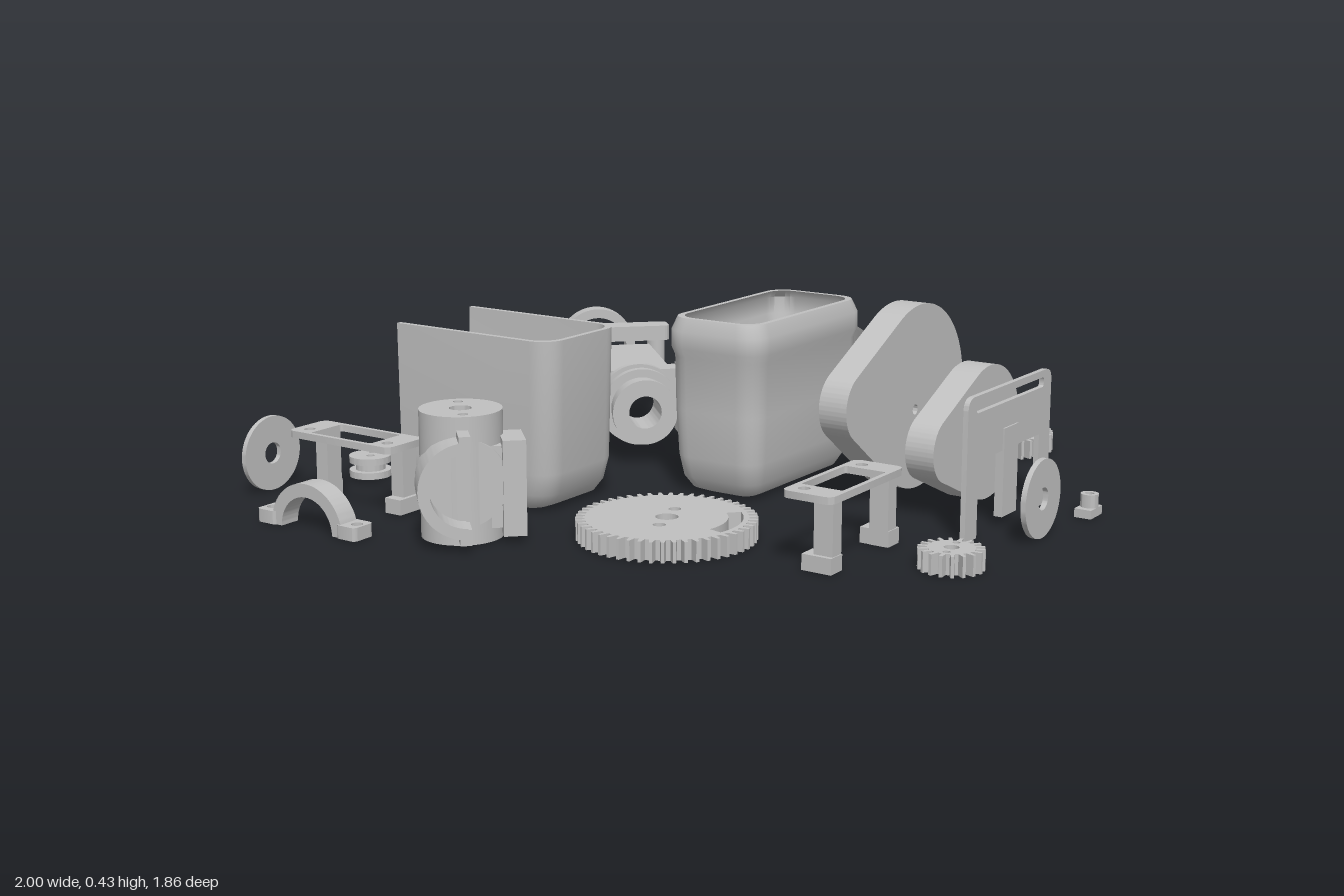
import * as THREE from 'three';
import { toCreasedNormals } from 'three/addons/utils/BufferGeometryUtils.js';

const grey = new THREE.MeshStandardMaterial({ color: 0xc0c0c0, side: THREE.DoubleSide });
grey.name = 'light grey';

function add(parent, name, geo, x = 0, y = 0, z = 0, rx = 0, ry = 0) {
  const m = new THREE.Mesh(geo, grey);
  m.name = name;
  m.position.set(x, y, z);
  m.rotation.set(rx, ry, 0);
  parent.add(m);
}
const group = (parent, name, x = 0, y = 0, z = 0, ry = 0) => {
  const g = new THREE.Group();
  g.name = name;
  g.position.set(x, y, z);
  g.rotation.y = ry;
  parent.add(g);
  return g;
};
const box = (w, h, d) => new THREE.BoxGeometry(w, h, d);
const cyl = (r, h) => new THREE.CylinderGeometry(r, r, h, 32);
const ext = (shape, depth) => toCreasedNormals(
  new THREE.ExtrudeGeometry(shape, { depth, bevelEnabled: false, curveSegments: 32 }), 0.5);
const hole = (shape, x, y, r) => shape.holes.push(new THREE.Path().absarc(x, y, r, 0, Math.PI * 2, true));
function disc(r, ...holes) {
  const s = new THREE.Shape().absarc(0, 0, r, 0, Math.PI * 2);
  holes.forEach(h => hole(s, ...h));
  return s;
}
function roundRect(Path, w, h, r, cy = 0) {
  const p = new Path(), a = w / 2 - r, b = h / 2 - r;
  [[a, b], [-a, b], [-a, -b], [a, -b]].forEach(([x, y], i) =>
    p.absarc(x, y + cy, r, i * Math.PI / 2, (i + 1) * Math.PI / 2));
  p.closePath();
  return p;
}

// Skin over a list of cross-sections
function loft(rings, closed) {
  const n = rings[0].length, index = [];
  for (let i = 0; i < rings.length - 1; i++)
    for (let j = 0; j < (closed ? n : n - 1); j++) {
      const k = (j + 1) % n, a = i * n + j, b = i * n + k;
      index.push(a, a + n, b, b, a + n, b + n);
    }
  const g = new THREE.BufferGeometry();
  g.setAttribute('position', new THREE.Float32BufferAttribute(rings.flat(2), 3));
  g.setIndex(index);
  return toCreasedNormals(g, 0.7);
}
// Rounded rectangle cross-section at height y
function tubRing([w, d, y]) {
  const r = Math.min(w, d) * 0.22, pts = [];
  for (let c = 0; c < 4; c++)
    for (let i = 0; i <= 6; i++) {
      const a = (c + i / 6) * Math.PI / 2;
      const sx = c === 0 || c === 3 ? 1 : -1, sz = c < 2 ? 1 : -1;
      pts.push([sx * (w / 2 - r) + r * Math.cos(a), y, -(sz * (d / 2 - r) + r * Math.sin(a))]);
    }
  return pts;
}
// U-shaped cross-section at height y, open towards +z; floor of the U is at z = -d
function uRing([w, d, y]) {
  const r = Math.min(w / 2, d) * 0.4, pts = [[-w / 2, y, 0]];
  for (let c = 0; c < 2; c++)
    for (let i = 0; i <= 7; i++) {
      const a = Math.PI + (c + i / 7) * Math.PI / 2;
      pts.push([(c ? 1 : -1) * (w / 2 - r) + r * Math.cos(a), y, -d + r + r * Math.sin(a)]);
    }
  pts.push([w / 2, y, 0]);
  return pts;
}
// Outer skin, rim and inner skin of a thin case
function thin(profile, ring, t, closed) {
  const inner = profile.slice().reverse().map(([w, d, y], i) =>
    [Math.max(w - 2 * t, 0.001), Math.max(d - (closed ? 2 : 1) * t, 0.001), i ? y + t : y]);
  return loft([...profile, ...inner].map(ring), closed);
}

// Toothed wheel lying flat
function gear(parent, name, x, z, R, teeth, h, holes, slot) {
  const s = new THREE.Shape(), root = R - 0.02, step = Math.PI * 2 / teeth;
  for (let i = 0; i < teeth; i++)
    [[0, root], [0.42, root], [0.57, R], [0.85, R]].forEach(([f, r], k) => {
      const a = (i + f) * step;
      s[i + k ? 'lineTo' : 'moveTo'](r * Math.cos(a), r * Math.sin(a));
    });
  s.closePath();
  holes.forEach(q => hole(s, ...q));
  if (slot) {
    const p = new THREE.Path();
    p.absarc(0, 0, 0.165, -1.0, 0.05, false);
    p.absarc(0, 0, 0.132, 0.05, -1.0, true);
    p.closePath();
    s.holes.push(p);
  }
  add(parent, name, new THREE.ExtrudeGeometry(s, { depth: h, bevelEnabled: false, curveSegments: 20 }), x, 0, z, -Math.PI / 2);
}

// Hull outline of a small and a big circle
function teardrop(Path, x1, y1, r1, x2, y2, r2) {
  const th = Math.atan2(y1 - y2, x1 - x2), b = Math.acos((r2 - r1) / Math.hypot(x1 - x2, y1 - y2));
  const p = new Path();
  p.absarc(x1, y1, r1, th - b, th + b);
  p.absarc(x2, y2, r2, th + b, th - b + Math.PI * 2);
  p.closePath();
  return p;
}
function cover(parent, name, z, c, hx, hy, hr) {
  const t = 0.014, g = group(parent, name, 0, 0, z);
  const rim = teardrop(THREE.Shape, ...c);
  rim.holes.push(teardrop(THREE.Path, c[0], c[1], c[2] - t, c[3], c[4], c[5] - t));
  add(g, 'coverRim', ext(rim, 0.055));
  const face = teardrop(THREE.Shape, ...c);
  hole(face, hx, hy, hr);
  add(g, 'coverFace', ext(face, 0.015), 0, 0, 0.055);
}

// Table-like bracket with a window and two legs
function bracket(parent, x, z, ry) {
  const g = group(parent, 'bracket', x, 0, z, ry);
  const s = roundRect(THREE.Shape, 0.305, 0.12, 0.018);
  s.holes.push(roundRect(THREE.Path, 0.18, 0.098, 0.006));
  for (const k of [-1, 1]) {
    hole(s, k * 0.118, 0.025, 0.013);
    add(g, 'bracketLeg', box(0.035, 0.15, 0.045), k * 0.115, 0.075, 0.03);
    add(g, 'bracketFoot', box(0.045, 0.035, 0.07), k * 0.12, 0.018, 0.02);
  }
  add(g, 'bracketTop', ext(s, 0.016), 0, 0.15, 0, -Math.PI / 2);
}

export function createModel() {
  const model = new THREE.Group();
  model.name = 'partsKit';

  // Gears
  gear(model, 'largeGear', -0.1, 0.53, 0.197, 50, 0.045, [[0, 0, 0.025], [0.028, 0.058, 0.014], [-0.027, -0.058, 0.014]], true);
  gear(model, 'mediumGear', 0.865, -0.11, 0.135, 36, 0.045, [[0, 0, 0.022], [0.025, 0.038, 0.013], [-0.025, -0.038, 0.013]]);
  gear(model, 'smallGear', 0.432, 0.858, 0.07, 18, 0.045, [[0, 0, 0.016], [0.02, 0.03, 0.008], [-0.02, -0.03, 0.008]]);

  // Lying trough: open at the top and towards the front
  add(model, 'troughShell', thin([[0.27, 0.005, 0], [0.31, 0.05, 0], [0.355, 0.085, 0.022], [0.39, 0.115, 0.05],
    [0.415, 0.145, 0.085], [0.43, 0.17, 0.13], [0.433, 0.183, 0.175], [0.433, 0.19, 0.24], [0.44, 0.19, 0.66]],
    uRing, 0.012, false), 0.465, 0.19, -0.93, Math.PI / 2, Math.PI);

  // Chassis with ring, cross bar and spool
  const ch = group(model, 'chassis', -0.04, 0, 0);
  add(ch, 'chassisPlate', box(0.22, 0.025, 0.42), 0, 0.17, -0.475);
  add(ch, 'chassisStrip', box(0.045, 0.025, 0.24), -0.088, 0.17, -0.785);
  add(ch, 'ringArm', box(0.16, 0.03, 0.03), -0.03, 0.175, -0.885);
  add(ch, 'crossBar', ext(roundRect(THREE.Shape, 0.345, 0.064, 0.015), 0.04), 0, 0.185, -0.748, -Math.PI / 2);
  add(ch, 'endRing', ext(disc(0.105, [0, 0, 0.08]), 0.045), 0, 0.14, -0.93);
  for (const k of [-1, 1]) {
    add(ch, 'post', cyl(0.024, 0.13), k * 0.14, 0.125, -0.748);
    add(ch, 'frontEar', box(0.04, 0.17, 0.06), k * 0.125, 0.13, -0.25);
    for (const y of [0.08, 0.195]) add(ch, 'earPin', cyl(0.02, 0.05), k * 0.132, y, -0.2, Math.PI / 2);
  }
  add(ch, 'frontBridge', box(0.3, 0.05, 0.06), 0, 0.185, -0.25);
  add(ch, 'spoolFlange', ext(disc(0.1, [0, 0, 0.04]), 0.02), 0, 0.13, -0.215);
  add(ch, 'spoolCore', ext(disc(0.075, [0, 0, 0.04]), 0.12), 0, 0.13, -0.215);
  add(ch, 'spoolFlange', ext(disc(0.095, [0, 0, 0.04]), 0.02), 0, 0.13, -0.175);
  add(ch, 'spoolLip', ext(disc(0.08, [0, 0, 0.04]), 0.015), 0, 0.13, -0.11);

  // Motor housing
  const mo = group(model, 'motorHousing', -0.53, 0, 0.43);
  add(mo, 'motorBody', ext(disc(0.09, [0, 0, 0.024], [0, 0.062, 0.011], [0, -0.062, 0.011]), 0.28), 0, 0, 0, -Math.PI / 2);
  add(mo, 'motorFace', ext(disc(0.097), 0.065), -0.005, 0.134, 0.02);
  add(mo, 'sideBlock', box(0.05, 0.21, 0.1), 0.105, 0.12, 0.04);
  add(mo, 'sideWeb', box(0.07, 0.18, 0.06), 0.06, 0.12, 0.04);
  const c = new THREE.Shape();
  c.absarc(0, 0, 0.105, Math.PI / 2, Math.PI * 1.5);
  c.absarc(0, 0, 0.08, Math.PI * 1.5, Math.PI / 2, true);
  c.closePath();
  add(mo, 'halfCollar', ext(c, 0.09), 0, 0.134, 0.06);
  for (const k of [-1, 1]) add(mo, 'collarTab', box(0.025, 0.035, 0.09), -0.005, 0.134 + k * 0.1, 0.105);

  // Pulley and small fastener
  const pu = group(model, 'pulley', -0.705, 0, -0.115);
  for (const y of [0, 0.034])
    add(pu, 'pulleyFlange', ext(disc(0.05, [0.006, 0.022, 0.008], [0, -0.01, 0.01]), 0.016), 0, y, 0, -Math.PI / 2);
  add(pu, 'pulleyCore', ext(disc(0.035, [0, 0, 0.01]), 0.04), 0, 0.005, 0, -Math.PI / 2);
  const fa = group(model, 'fastener', 0.855, 0, 0.53, Math.PI / 4);
  add(fa, 'fastenerBase', box(0.06, 0.02, 0.04), 0, 0.01, 0);
  add(fa, 'fastenerBarrel', ext(disc(0.02, [0, 0, 0.01]), 0.045), 0.005, 0.005, 0, -Math.PI / 2);

  // Parts laid out diagonally share one turned group
  const dg = group(model, 'diagonalParts', 0, 0, 0, Math.PI / 4);
  add(dg, 'tub', thin([[0.001, 0.001, 0], [0.34, 0.13, 0], [0.4, 0.18, 0.012], [0.44, 0.21, 0.04], [0.46, 0.227, 0.09],
    [0.472, 0.238, 0.2], [0.478, 0.242, 0.325], [0.492, 0.256, 0.345], [0.492, 0.256, 0.385], [0.468, 0.232, 0.415]],
    tubRing, 0.013, true), 0.094, 0, 0.214);
  // Standing shell: open at the top and on the side facing away from the middle
  add(dg, 'standingShell', thin([[0.001, 0.001, 0], [0.19, 0.37, 0], [0.225, 0.4, 0.012], [0.248, 0.42, 0.04],
    [0.262, 0.432, 0.09], [0.27, 0.44, 0.395]], uRing, 0.013, false), -0.34, 0, -0.43, 0, Math.PI);
  cover(dg, 'largeCover', 0.48, [-0.03, 0.24, 0.08, 0.23, 0.218, 0.217], 0.21, 0.19, 0.012);
  cover(dg, 'smallCover', 0.66, [0.035, 0.155, 0.075, 0.23, 0.157, 0.156], 0.235, 0.157, 0.036);

  // Thin frame plate with a middle post
  const f = new THREE.Shape();
  f.moveTo(-0.205, 0); f.lineTo(-0.15, 0); f.lineTo(-0.15, 0.17); f.lineTo(0.15, 0.17); f.lineTo(0.15, 0);
  f.lineTo(0.205, 0); f.lineTo(0.205, 0.285); f.quadraticCurveTo(0.205, 0.315, 0.175, 0.315);
  f.lineTo(-0.175, 0.315); f.quadraticCurveTo(-0.205, 0.315, -0.205, 0.285); f.closePath();
  f.holes.push(roundRect(THREE.Path, 0.33, 0.022, 0.006, 0.288));
  add(dg, 'framePlate', ext(f, 0.012), 0.075, 0, 0.844);
  add(dg, 'framePost', box(0.07, 0.2, 0.02), 0.075, 0.12, 0.85);

  // Standing washers
  add(dg, 'washer', ext(disc(0.0875, [0, 0, 0.025]), 0.012), -0.645, 0.0875, -0.685);
  add(dg, 'washer', ext(disc(0.0875, [0, 0, 0.025]), 0.012), 0.005, 0.0875, 0.96);
  add(dg, 'smallWasher', ext(disc(0.056, [0, 0.03, 0.009], [0, -0.03, 0.009], [0, 0, 0.012]), 0.02), 0.43, 0.056, 0.28, 0, Math.PI / 2);

  // Brackets and arched clamp
  bracket(dg, -0.345, 0.682, 0);
  bracket(dg, -0.634, -0.42, Math.PI / 2);
  const cl = group(dg, 'clamp', -0.83, 0, -0.365, Math.PI / 2);
  const arch = new THREE.Shape();
  arch.absarc(0, 0, 0.105, 0, Math.PI);
  arch.absarc(0, 0, 0.075, Math.PI, 0, true);
  arch.closePath();
  add(cl, 'clampArch', ext(arch, 0.05), 0, 0, -0.025);
  for (const k of [-1, 1]) {
    const tab = roundRect(THREE.Shape, 0.055, 0.06, 0.01);
    hole(tab, 0.008 * k, 0, 0.013);
    add(cl, 'clampTab', ext(tab, 0.03), k * 0.118, 0, 0, -Math.PI / 2);
  }

  return model;
}
